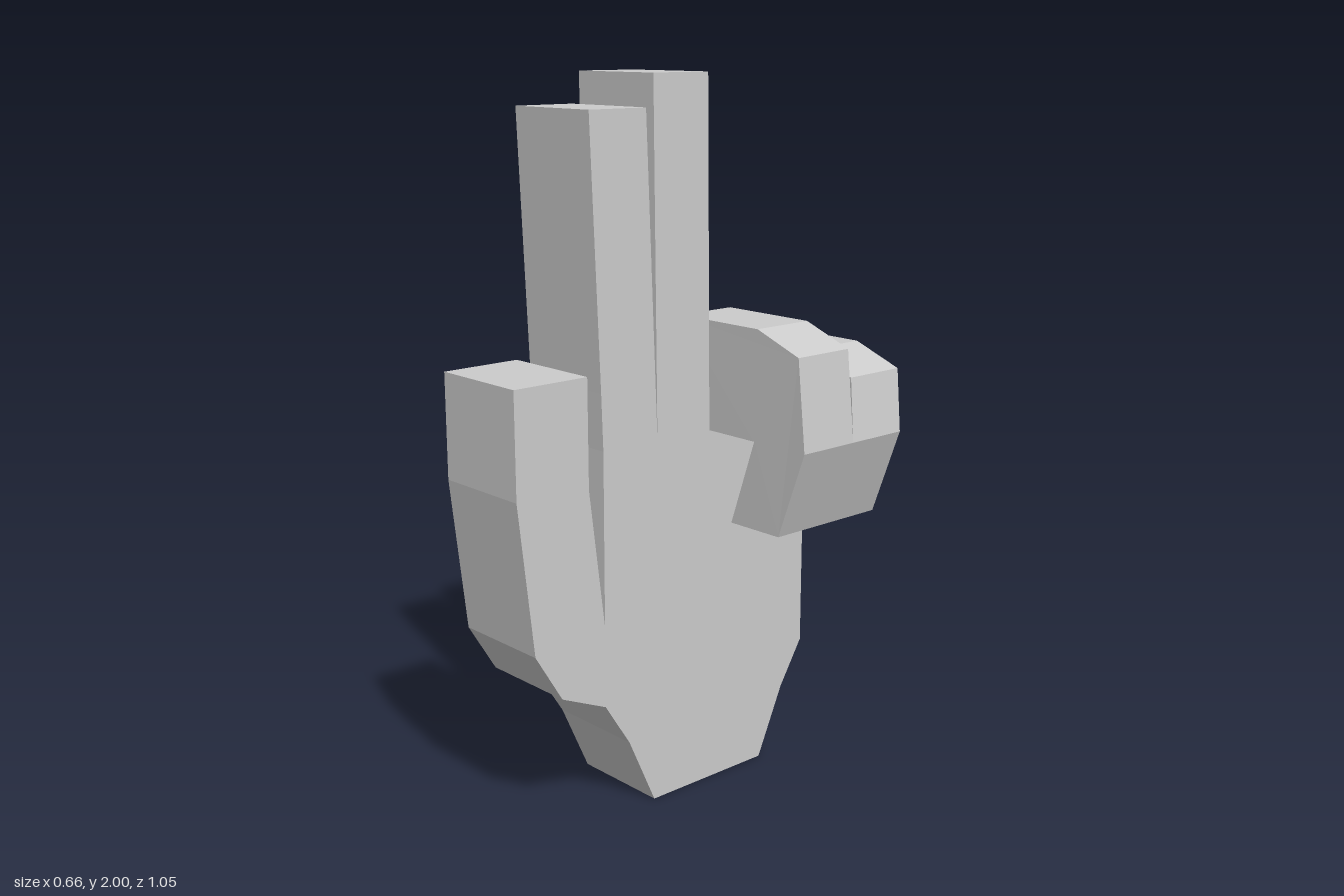
import * as THREE from 'three';

const material = new THREE.MeshStandardMaterial({ color: 0xcccccc, flatShading: true });
const LEFT = -0.33, THICK = 0.3;

function extrude(points, depth) {
  const shape = new THREE.Shape(points.map(([x, y]) => new THREE.Vector2(x, y)));
  return new THREE.ExtrudeGeometry(shape, { depth, bevelEnabled: false });
}

function addMesh(group, name, geometry) {
  const mesh = new THREE.Mesh(geometry, material);
  mesh.name = name;
  group.add(mesh);
}

// Slab cut from an outline given as [z, y], extruded across x
function slab(outline) {
  return extrude(outline.map(([z, y]) => [-z, y]), THICK)
    .rotateY(Math.PI / 2)
    .translate(LEFT, 0, 0);
}

// Finger curled over toward +x; knuckle height is `top`, sides lean apart above the palm
function curledFinger(top, zFront, zBack, leanFront, leanBack) {
  const low = top - 0.055;
  const geometry = extrude([
    [LEFT, 1.04], [0.145, 1.04], [0.06, 0.795], [0.24, 0.795], [0.33, 1.04],
    [0.30, low], [0.15, top], [-0.15, top], [-0.30, low],
  ], zFront - zBack).translate(0, 0, zBack);
  const p = geometry.attributes.position;
  const middle = (zFront + zBack) / 2;
  for (let i = 0; i < p.count; i++) {
    const t = THREE.MathUtils.clamp((p.getY(i) - 1.04) / (low - 1.04), 0, 1);
    p.setZ(i, p.getZ(i) + t * (p.getZ(i) > middle ? leanFront : leanBack));
  }
  geometry.computeVertexNormals();
  return geometry;
}

export function createModel() {
  const hand = new THREE.Group();
  hand.name = 'hand';

  // Palm with tapered wrist
  addMesh(hand, 'palm', slab([
    [0.075, 0], [-0.34, 0], [-0.43, 0.2], [-0.51, 0.33], [-0.51, 1.04],
    [-0.132, 1.04], [0.058, 1.045], [0.245, 1.045], [0.248, 0.33], [0.165, 0.2],
  ]));

  // Thumb
  addMesh(hand, 'thumb', slab([
    [0.248, 0.33], [0.247, 0.56], [0.295, 0.95], [0.295, 1.25],
    [0.527, 1.25], [0.527, 0.96], [0.48, 0.535], [0.395, 0.395],
  ]));

  // Two straight fingers
  addMesh(hand, 'indexFinger', slab([
    [0.245, 1.045], [0.058, 1.045], [0.092, 1.915], [0.278, 1.915], [0.25, 1.2],
  ]));
  addMesh(hand, 'middleFinger', slab([
    [0.058, 1.045], [-0.132, 1.04], [-0.122, 2], [0.067, 2],
  ]));

  // Two curled fingers
  addMesh(hand, 'ringFinger', curledFinger(1.345, -0.132, -0.32, -0.003, -0.003));
  addMesh(hand, 'littleFinger', curledFinger(1.265, -0.32, -0.51, -0.018, -0.017));

  return hand;
}
